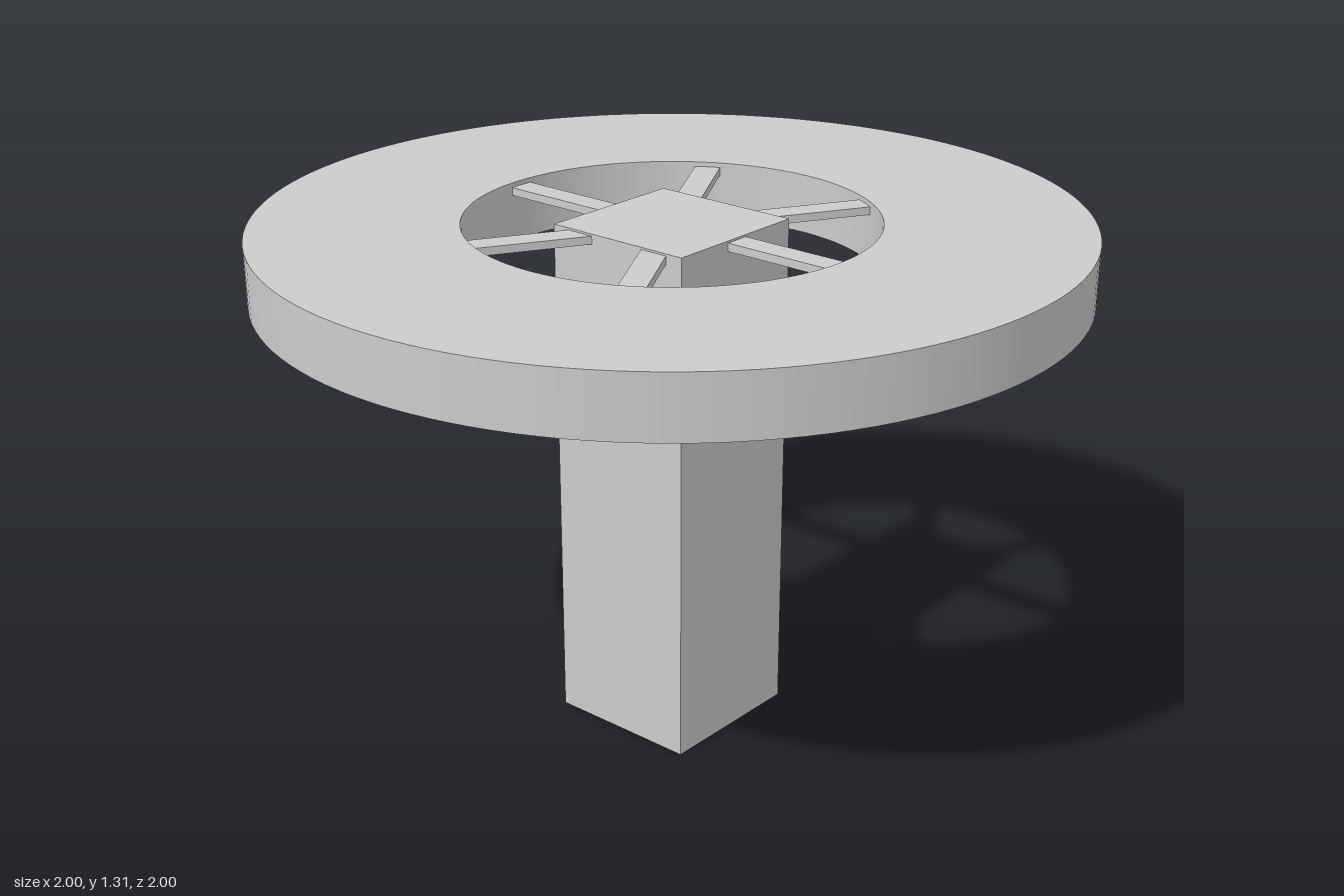
import * as THREE from 'three';

const TOP = 1.307, RIM_BOTTOM = 1.157, OUTER = 1, INNER = 0.5;
const COLUMN = 0.395, SEGMENTS = 128;

const material = new THREE.MeshStandardMaterial({ color: 0xcccccc, side: THREE.DoubleSide });

function part(name, geometry, y, parent) {
  const mesh = new THREE.Mesh(geometry, material);
  mesh.name = name;
  mesh.position.y = y;
  parent.add(mesh);
  return mesh;
}

// Thin-walled box with its underside left open
function openBox(w, h, d) {
  const box = new THREE.BoxGeometry(w, h, d);
  const index = Array.from(box.index.array);
  index.splice(18, 6); // bottom face
  box.setIndex(index);
  box.clearGroups();
  return box;
}

export function createModel() {
  const model = new THREE.Group();
  model.name = 'pedestalTable';

  // Ring-shaped top: a flat plate with outer and inner skirts, open below
  const ring = new THREE.Group();
  ring.name = 'ringTop';
  model.add(ring);
  const plate = new THREE.RingGeometry(INNER, OUTER, SEGMENTS).rotateX(-Math.PI / 2);
  part('ringPlate', plate, TOP, ring);
  const skirtHeight = TOP - RIM_BOTTOM;
  for (const [name, r] of [['outerSkirt', OUTER], ['innerSkirt', INNER]]) {
    const skirt = new THREE.CylinderGeometry(r, r, skirtHeight, SEGMENTS, 1, true);
    // the inner skirt faces the centre hole
    if (r === INNER) skirt.scale(-1, 1, 1).index.array.reverse();
    if (r === INNER) {
      const n = skirt.attributes.normal;
      for (let i = 0; i < n.count; i++) n.setXYZ(i, -n.getX(i), 0, -n.getZ(i));
      skirt.index.array.reverse();
    }
    part(name, skirt, (TOP + RIM_BOTTOM) / 2, ring);
  }

  // Square hollow column, capped on top and open at the foot
  const columnTop = 1.3;
  part('column', openBox(COLUMN, columnTop, COLUMN), columnTop / 2, model);

  // Six thin spokes joining the column to the ring
  const spokes = new THREE.Group();
  spokes.name = 'spokes';
  model.add(spokes);
  const start = 0.19, end = 0.505;
  for (let i = 0; i < 6; i++) {
    const geometry = openBox(end - start, 0.02, 0.065).translate((start + end) / 2, 0, 0);
    part('spoke', geometry, 1.285, spokes).rotation.y = (i * Math.PI) / 3;
  }

  return model;
}
